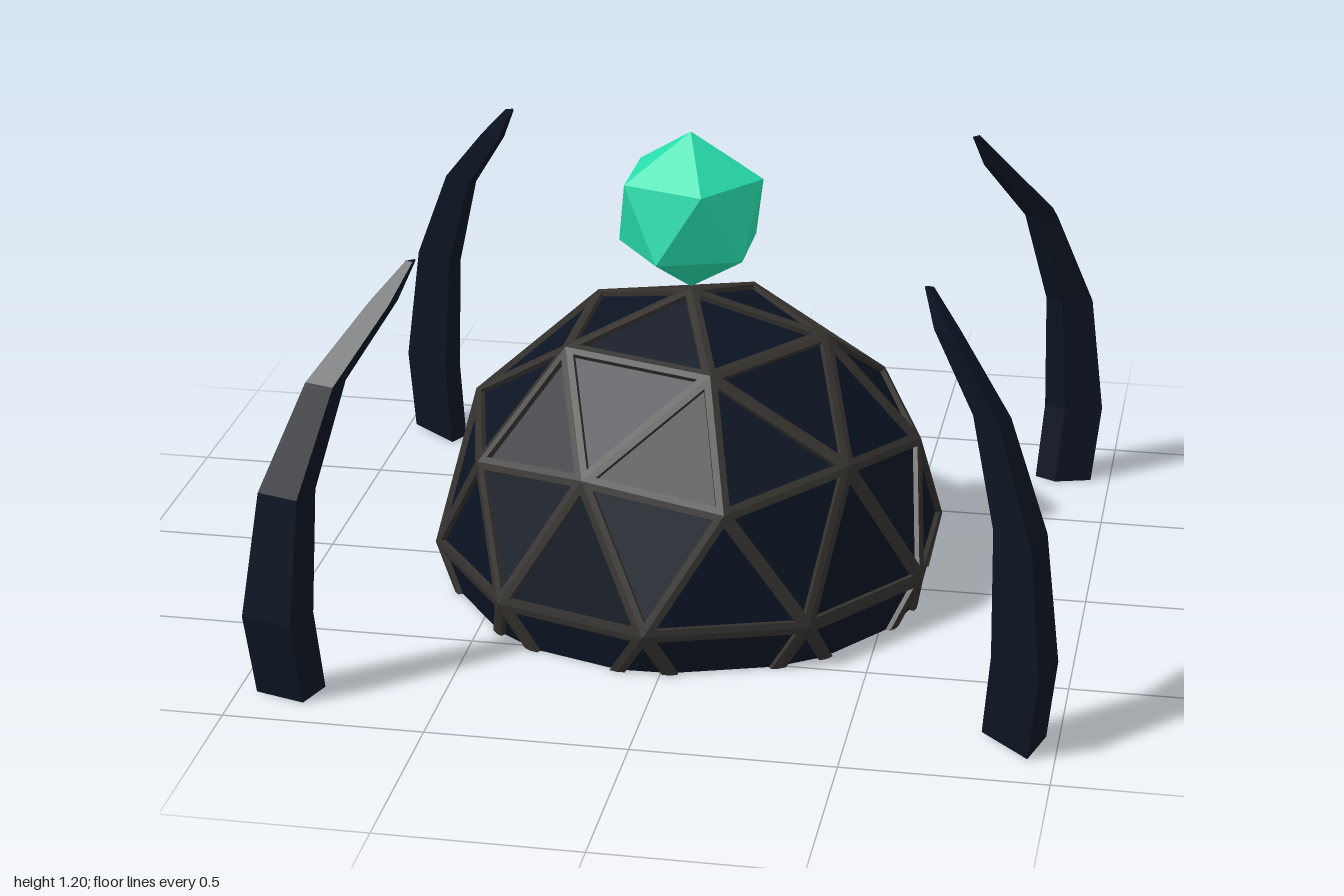
import * as THREE from 'three';

const navy = new THREE.MeshStandardMaterial({ color: 0x0c1422, flatShading: true });
const navyShell = new THREE.MeshStandardMaterial({ color: 0x0c1422, flatShading: true, side: THREE.DoubleSide });
const strutGrey = new THREE.MeshStandardMaterial({ color: 0x34312e, flatShading: true });
const green = new THREE.MeshStandardMaterial({ color: 0x28deac, flatShading: true });

// Turn a list of corner points (three per triangle) into a faceted mesh
function facetMesh(name, points, material) {
  const geometry = new THREE.BufferGeometry().setFromPoints(points);
  geometry.computeVertexNormals();
  const mesh = new THREE.Mesh(geometry, material);
  mesh.name = name;
  return mesh;
}

// Unit icosahedron standing on a corner, with one upper ring corner on +x
function icosahedronFaces() {
  const ring = (y, turn) => Array.from({ length: 5 }, (_, k) => {
    const a = (k + turn) * Math.PI * 0.4;
    return new THREE.Vector3(Math.cos(a) * 2 / Math.sqrt(5), y / Math.sqrt(5), Math.sin(a) * 2 / Math.sqrt(5));
  });
  const top = new THREE.Vector3(0, 1, 0), bottom = new THREE.Vector3(0, -1, 0);
  const upper = ring(1, 0), lower = ring(-1, 0.5);
  const faces = [];
  for (let k = 0; k < 5; k++) {
    const n = (k + 1) % 5;
    faces.push([top, upper[n], upper[k]], [upper[k], upper[n], lower[k]],
      [upper[n], lower[n], lower[k]], [bottom, lower[k], lower[n]]);
  }
  return faces;
}

// Split each face into four and push the new corners onto the sphere
function subdivide(faces) {
  const mid = (a, b) => a.clone().add(b).normalize();
  return faces.flatMap(([a, b, c]) => {
    const ab = mid(a, b), bc = mid(b, c), ca = mid(c, a);
    return [[a, ab, ca], [ab, b, bc], [ca, bc, c], [ab, bc, ca]];
  });
}

// Cut a polygon at the ground and add what remains as a triangle fan
function addAboveGround(points, polygon) {
  const kept = [];
  polygon.forEach((p, i) => {
    const q = polygon[(i + 1) % polygon.length];
    if (p.y >= 0) kept.push(p);
    if ((p.y >= 0) !== (q.y >= 0)) kept.push(p.clone().lerp(q, p.y / (p.y - q.y)));
  });
  for (let i = 1; i < kept.length - 1; i++) points.push(kept[0], kept[i], kept[i + 1]);
}

// Geodesic dome: recessed panels behind a raised triangular lattice
function createDome() {
  const radius = 0.667, recess = 0.98, strutHalf = 0.017;
  const centre = new THREE.Vector3(-0.035, 0.118, -0.023);
  const place = (p, s = 1) => p.clone().multiplyScalar(radius * s).add(centre);
  const panels = [], struts = [];
  for (const face of subdivide(icosahedronFaces())) {
    addAboveGround(panels, face.map((p) => place(p, recess)));
    // Inset the triangle by an even width, towards its incentre
    const [a, b, c] = face;
    const la = b.distanceTo(c), lb = c.distanceTo(a), lc = a.distanceTo(b);
    const perimeter = la + lb + lc;
    const incentre = new THREE.Vector3().addScaledVector(a, la / perimeter)
      .addScaledVector(b, lb / perimeter).addScaledVector(c, lc / perimeter);
    const inradius = 2 * new THREE.Triangle(a, b, c).getArea() / perimeter;
    const inner = face.map((p) => p.clone().lerp(incentre, strutHalf / radius / inradius));
    for (let i = 0; i < 3; i++) {
      const j = (i + 1) % 3;
      addAboveGround(struts, [place(face[i]), place(face[j]), place(inner[j]), place(inner[i])]);
      addAboveGround(struts, [place(inner[i]), place(inner[j]), place(inner[j], recess), place(inner[i], recess)]);
    }
  }
  const dome = new THREE.Group();
  dome.name = 'dome';
  dome.add(facetMesh('domePanels', panels, navyShell), facetMesh('domeStruts', struts, strutGrey));
  return dome;
}

// Claw: height, outer reach and section scale at each level
const clawLevels = [
  [0, 1.285, 0.97], [0.21, 1.315, 1], [0.53, 1.263, 0.8],
  [0.79, 1.13, 0.56], [0.96, 0.955, 0.4], [1.05, 0.86, 0.14],
];
// Claw cross-section: inward distance from the outer edge, sideways offset
const clawSection = [[0, -0.065], [0.065, 0.055], [0.155, 0.01], [0.175, -0.05]];

function createClaw(name, sx, sz, tipShift, baseShift) {
  const rings = clawLevels.map(([y, reach, scale]) => clawSection.map(([inward, side]) => {
    const r = reach - inward * scale;
    const t = side * scale + THREE.MathUtils.mapLinear(r, 0.84, 1.28, tipShift, baseShift);
    return new THREE.Vector3((sx * r + t) / Math.SQRT2, y, (sz * r - sx * sz * t) / Math.SQRT2);
  }));
  const points = [];
  const quad = (a, b, c, d) => {
    if (sz > 0) points.push(a, b, c, a, c, d);
    else points.push(c, b, a, d, c, a);
  };
  for (let i = 0; i < rings.length - 1; i++) {
    for (let k = 0; k < 4; k++) {
      const n = (k + 1) % 4;
      quad(rings[i][k], rings[i][n], rings[i + 1][n], rings[i + 1][k]);
    }
  }
  const [a, b, c, d] = rings[0];
  quad(d, c, b, a);
  quad(...rings[rings.length - 1]);
  return facetMesh(name, points, navy);
}

export function createModel() {
  const model = new THREE.Group();
  model.name = 'domeShrine';
  model.add(createDome());

  // Floating gem
  const gem = facetMesh('gem', icosahedronFaces().flat().map((p) => p.clone()), green);
  gem.scale.setScalar(0.207);
  gem.position.set(-0.035, 0.997, -0.023);
  model.add(gem);

  // Four curved claws around the dome
  model.add(
    createClaw('frontRightClaw', -1, 1, 0, 0),
    createClaw('backRightClaw', -1, -1, -0.035, -0.04),
    createClaw('backLeftClaw', 1, -1, 0.045, 0.07),
    createClaw('frontLeftClaw', 1, 1, 0.06, 0.1),
  );
  return model;
}
